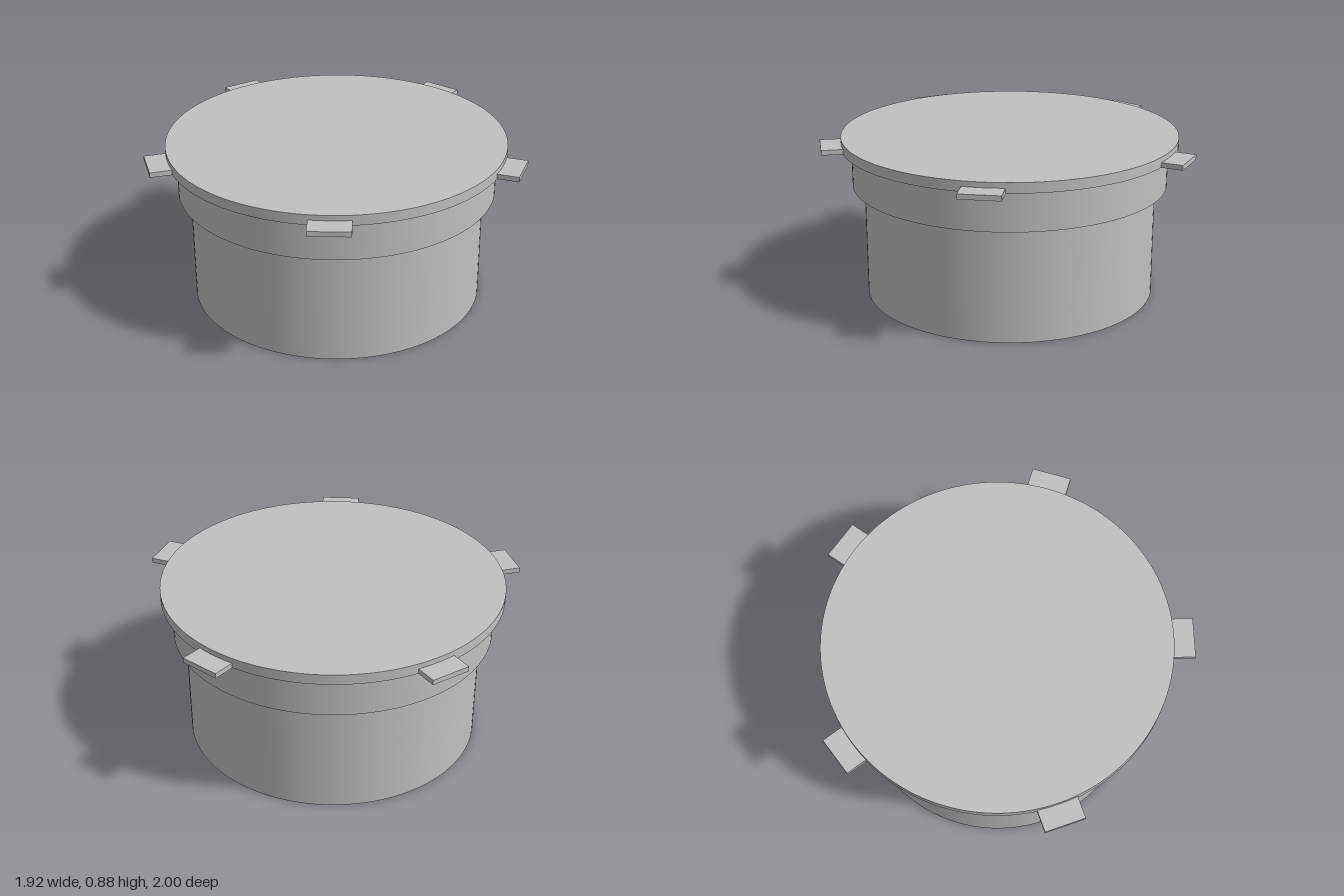
import * as THREE from 'three';

const CENTRE_X = -0.055;

export function createModel() {
  const model = new THREE.Group();
  model.name = 'steppedCap';
  const grey = new THREE.MeshStandardMaterial({ color: 0xc0c0c0 });
  grey.name = 'grey';

  const body = new THREE.Group();
  body.name = 'body';
  body.position.x = CENTRE_X;
  model.add(body);

  // Three stacked discs: name, radius, bottom, top
  const tiers = [
    ['plug', 0.79, 0, 0.615],
    ['collar', 0.853, 0.615, 0.83],
    ['lid', 0.907, 0.83, 0.885],
  ];
  for (const [name, radius, bottom, top] of tiers) {
    const tier = new THREE.Mesh(new THREE.CylinderGeometry(radius, radius, top - bottom, 128), grey);
    tier.name = name;
    tier.position.y = (bottom + top) / 2;
    body.add(tier);
  }

  // Five flat tabs around the lid, rooted inside its edge
  const inner = 0.87, outer = 1.015;
  const tabGeometry = new THREE.BoxGeometry(outer - inner, 0.027, 0.213);
  tabGeometry.translate((inner + outer) / 2, 0.8435, 0);
  for (let i = 0; i < 5; i++) {
    const tab = new THREE.Mesh(tabGeometry, grey);
    tab.name = `tab${i + 1}`;
    tab.rotation.y = (i * Math.PI * 2) / 5;
    body.add(tab);
  }

  return model;
}
